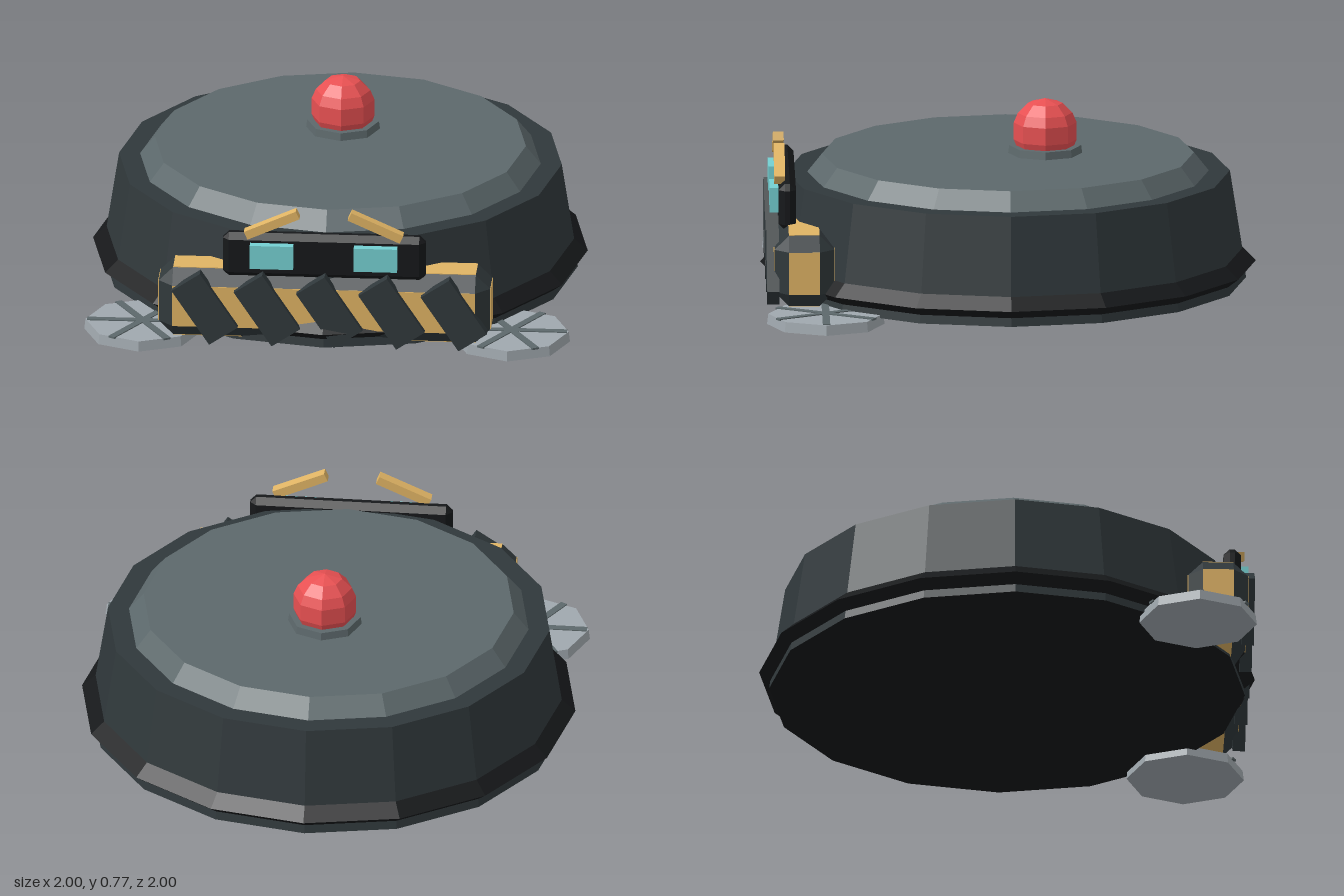
import * as THREE from 'three';
import { ConvexGeometry } from 'three/addons/geometries/ConvexGeometry.js';

const mat = (color) => new THREE.MeshStandardMaterial({ color, flatShading: true });
const dark = mat(0x30383b);
const black = mat(0x16181a);
const grey = mat(0x5c686b);
const light = mat(0xa0a8ae);
const yellow = mat(0xe0b464);
const red = mat(0xe85052);
const cyan = mat(0x74d0d2);

function add(parent, name, geometry, material, x = 0, y = 0, z = 0) {
  const mesh = new THREE.Mesh(geometry, material);
  mesh.name = name;
  mesh.position.set(x, y, z);
  parent.add(mesh);
  return mesh;
}

const box = (w, h, d) => new THREE.BoxGeometry(w, h, d);

const lathe = (points, sides) =>
  new THREE.LatheGeometry(points.map(([r, y]) => new THREE.Vector2(r, y)), sides);

// Box with every edge and corner cut at 45 degrees
function chamferBox(w, h, d, c) {
  const points = [];
  for (const sx of [-1, 1]) for (const sy of [-1, 1]) for (const sz of [-1, 1]) {
    const x = w / 2, y = h / 2, z = d / 2;
    points.push(
      new THREE.Vector3(sx * x, sy * (y - c), sz * (z - c)),
      new THREE.Vector3(sx * (x - c), sy * y, sz * (z - c)),
      new THREE.Vector3(sx * (x - c), sy * (y - c), sz * z));
  }
  return new ConvexGeometry(points);
}

function makeBody() {
  const body = new THREE.Group();
  body.name = 'body';
  const bands = [
    ['underside', black, [[0, 0.03], [0.96, 0.03]]],
    ['skirt', dark, [[0.96, 0.03], [0.955, 0.065]]],
    ['rim', black, [[0.955, 0.065], [1, 0.1], [0.945, 0.15]]],
    ['shell', dark, [[0.945, 0.15], [0.895, 0.47], [0.81, 0.47]]],
    ['lid', grey, [[0.81, 0.47], [0.75, 0.545], [0, 0.545]]],
  ];
  for (const [name, material, points] of bands) add(body, name, lathe(points, 16), material);
  return body;
}

function makeBeacon() {
  const beacon = new THREE.Group();
  beacon.name = 'beacon';
  beacon.position.set(0, 0.54, -0.15);
  add(beacon, 'beaconBase', new THREE.CylinderGeometry(0.145, 0.15, 0.036, 8), grey, 0, 0.018);
  const dome = [[0.115, 0.03], [0.127, 0.06], [0.127, 0.13], [0.11, 0.17], [0.07, 0.21], [0, 0.23]];
  add(beacon, 'beaconDome', lathe(dome, 8), red);
  return beacon;
}

function makeBumper() {
  const bumper = new THREE.Group();
  bumper.name = 'bumper';
  bumper.position.set(0, 0.19, 0.83);
  const w = 1.34, h = 0.29, d = 0.24, c = 0.058, out = 0.005;
  add(bumper, 'bumperFrame', chamferBox(w, h, d, c), dark);
  // Yellow faces sit just proud of the chamfered frame
  add(bumper, 'frontPanel', box(w - 2 * c, h - 2 * c, d + out), yellow);
  add(bumper, 'topPanel', box(w - 2 * c, h + out, d - 2 * c), yellow);
  add(bumper, 'sidePanel', box(w + out, h - 2 * c, d - 2 * c), yellow);
  // Slanted hazard stripes
  for (let i = -2; i <= 2; i++) {
    const stripe = add(bumper, 'stripe', box(0.138, 0.275, 0.05), dark, 0.025 + i * 0.252, 0, 0.125);
    stripe.rotation.z = 0.588;
  }
  return bumper;
}

function makeFace() {
  const face = new THREE.Group();
  face.name = 'face';
  add(face, 'facePanel', chamferBox(0.82, 0.19, 0.07, 0.025), black, 0, 0.405, 0.895);
  for (const s of [-1, 1]) {
    add(face, 'eye', box(0.175, 0.1, 0.06), cyan, s * 0.21, 0.415, 0.935);
    const brow = add(face, 'eyebrow', box(0.23, 0.036, 0.044), yellow, s * 0.21, 0.548, 0.925);
    brow.rotation.z = -s * 0.42;
  }
  return face;
}

function makeBrush(s) {
  const brush = new THREE.Group();
  brush.name = s > 0 ? 'leftBrush' : 'rightBrush';
  brush.position.set(s * 0.745, 0, 0.745);
  add(brush, 'brushDisc', new THREE.CylinderGeometry(0.232, 0.237, 0.042, 8), light, 0, 0.021);
  // Three bars across the disc make six spokes
  for (let i = 0; i < 3; i++) {
    const spoke = add(brush, 'spoke', box(0.45, 0.008, 0.03), grey, 0, 0.042);
    spoke.rotation.y = (i * Math.PI) / 3;
  }
  return brush;
}

export function createModel() {
  const model = new THREE.Group();
  model.name = 'robotVacuum';
  model.add(makeBody(), makeBeacon(), makeBumper(), makeFace(), makeBrush(1), makeBrush(-1));
  return model;
}
